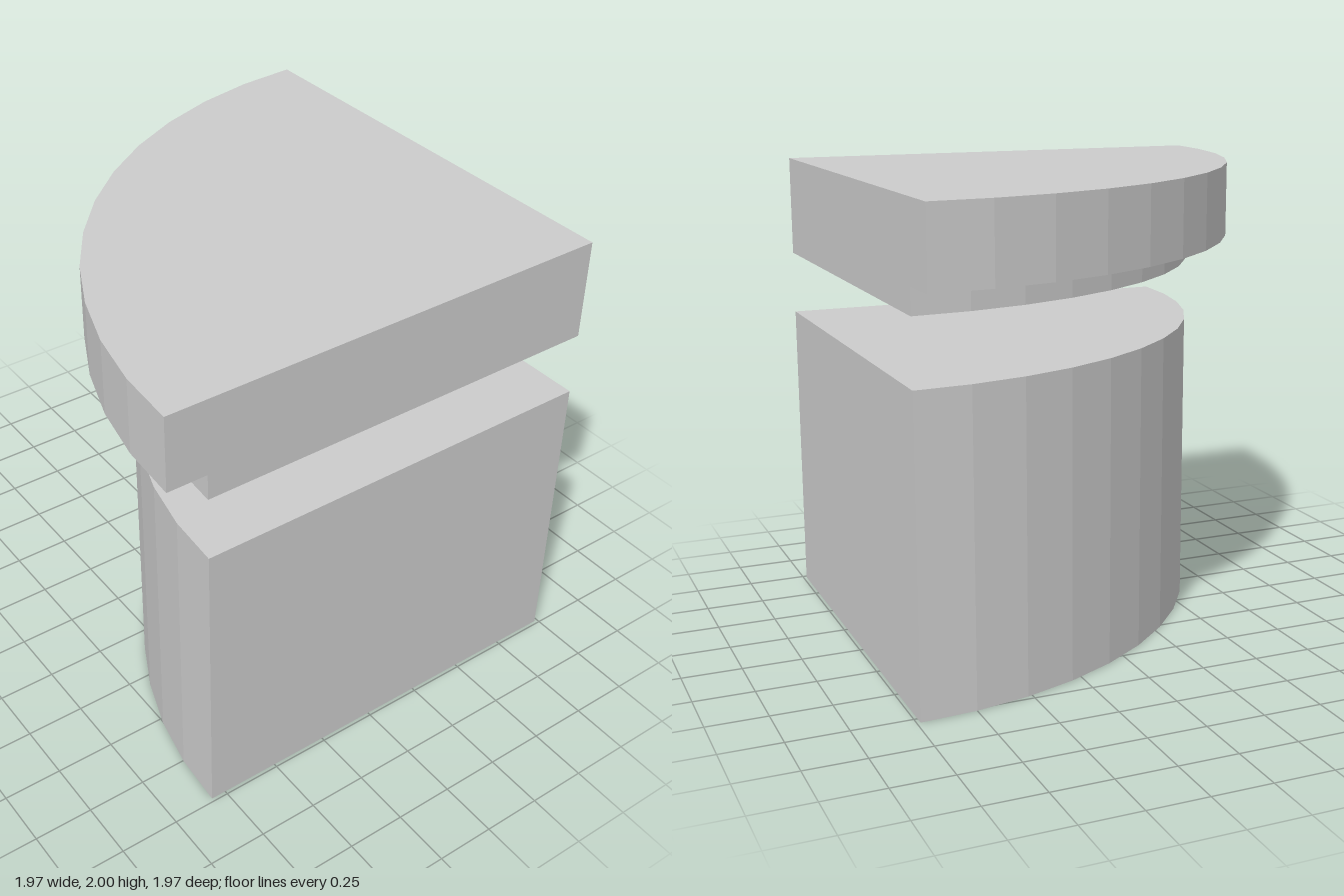
import * as THREE from 'three';

const CORNER = 0.985; // both straight walls meet at x = CORNER, z = -CORNER
const SEGMENTS = 12;

// Upright quarter-round slab with its square corner at the back left
function quarterSlab(name, radiusX, radiusZ, bottom, top, material) {
  const points = [new THREE.Vector2(CORNER, CORNER)];
  for (let i = 0; i <= SEGMENTS; i++) {
    const a = (i / SEGMENTS) * Math.PI / 2;
    points.push(new THREE.Vector2(
      CORNER - radiusX * Math.cos(a),
      CORNER - radiusZ * Math.sin(a)
    ));
  }
  const geometry = new THREE.ExtrudeGeometry(new THREE.Shape(points), {
    depth: top - bottom,
    bevelEnabled: false,
  });
  geometry.rotateX(-Math.PI / 2);
  geometry.translate(0, bottom, 0);
  const mesh = new THREE.Mesh(geometry, material);
  mesh.name = name;
  return mesh;
}

export function createModel() {
  const group = new THREE.Group();
  group.name = 'quarterRoundCabinet';
  const material = new THREE.MeshStandardMaterial({ color: 0xcccccc, flatShading: true });

  group.add(
    // Lower body
    quarterSlab('body', 1.773, 1.8, 0, 1.297, material),
    // Recessed step under the overhanging top
    quarterSlab('topStep', 1.773, 1.8, 1.57, 1.68, material),
    // Overhanging top
    quarterSlab('top', 1.97, 1.97, 1.68, 2, material)
  );
  return group;
}
